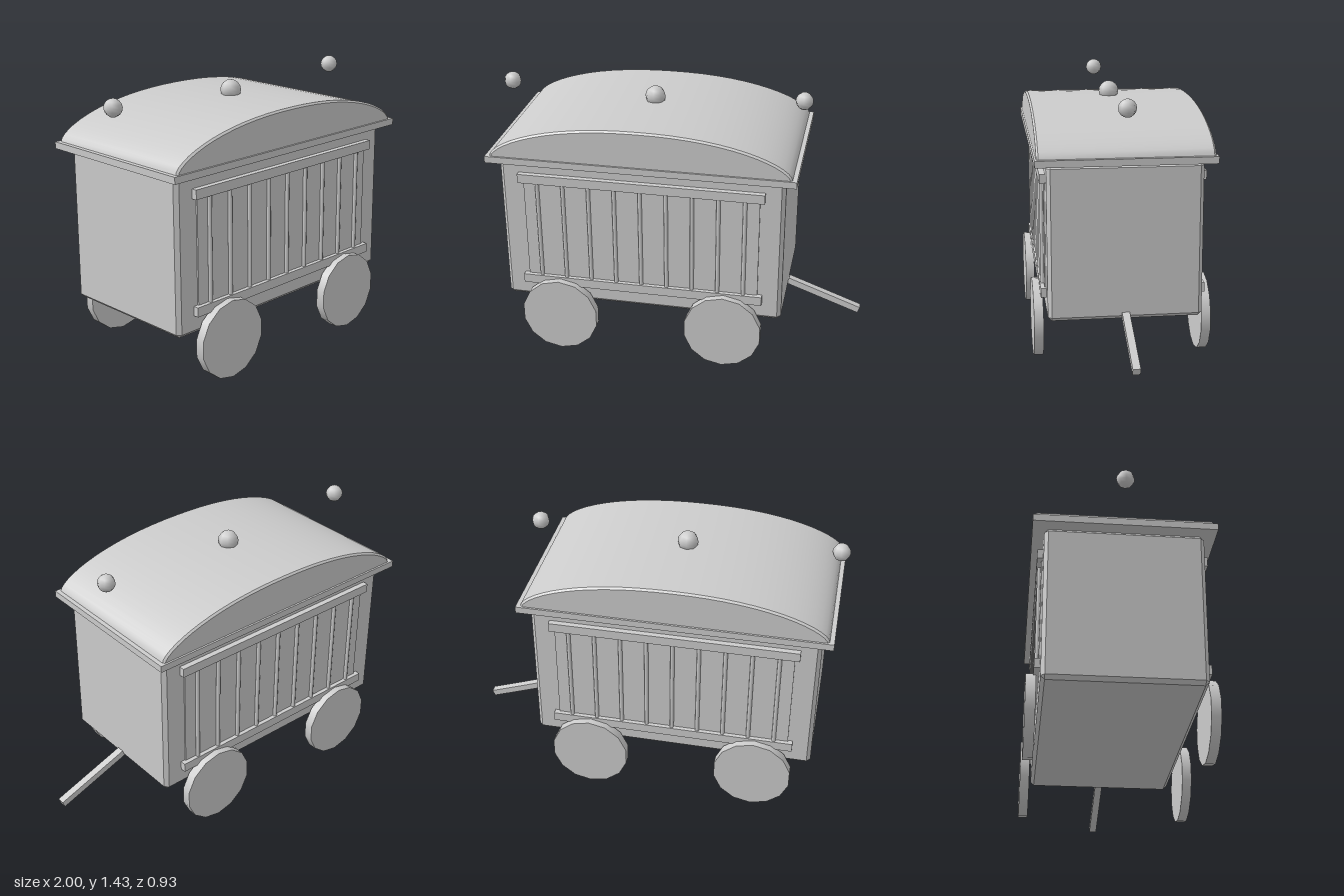
import * as THREE from 'three';
import { toCreasedNormals } from 'three/addons/utils/BufferGeometryUtils.js';
import { ConvexGeometry } from 'three/addons/geometries/ConvexGeometry.js';

const CX = -0.165; // middle of the wagon body along x

export function createModel() {
  const wagon = new THREE.Group();
  wagon.name = 'cageWagon';
  const grey = new THREE.MeshStandardMaterial({ color: 0xcccccc });
  grey.name = 'plain grey';

  const add = (name, geometry, x, y, z) => {
    const mesh = new THREE.Mesh(geometry, grey);
    mesh.name = name;
    mesh.position.set(x, y, z);
    wagon.add(mesh);
    return mesh;
  };
  const box = (name, w, h, d, x, y, z) => add(name, new THREE.BoxGeometry(w, h, d), x, y, z);

  // Body: box with every edge chamfered
  const hx = 0.755, hy = 0.41, hz = 0.4, c = 0.02;
  const corners = [];
  for (const sx of [-1, 1]) for (const sy of [-1, 1]) for (const sz of [-1, 1]) {
    corners.push(
      new THREE.Vector3(sx * hx, sy * (hy - c), sz * (hz - c)),
      new THREE.Vector3(sx * (hx - c), sy * hy, sz * (hz - c)),
      new THREE.Vector3(sx * (hx - c), sy * (hy - c), sz * hz));
  }
  add('body', new ConvexGeometry(corners), CX, 0.69, 0);

  // Eave slab under the roof
  box('eaves', 1.626, 0.036, 0.92, CX, 1.118, 0);

  // Arched roof with a fine bevel on both end edges
  const bevel = 0.01, half = 0.78, rise = 0.185;
  const arch = new THREE.Shape();
  arch.moveTo(-half, 0);
  const steps = 28;
  for (let i = 1; i < steps; i++) {
    const u = -Math.cos((Math.PI * i) / steps);
    arch.lineTo(u * half, rise * Math.pow(1 - Math.pow(Math.abs(u), 2.2), 0.65));
  }
  arch.lineTo(half, 0);
  const roof = new THREE.ExtrudeGeometry(arch, {
    depth: 0.88, bevelEnabled: true, bevelSize: bevel, bevelThickness: bevel, bevelSegments: 1,
  });
  roof.translate(0, 0, -0.44);
  add('roof', toCreasedNormals(roof, 0.5), CX, 1.136, 0);

  for (const side of [1, -1]) {
    // Barred panel on each long side
    box('cagePanel', 1.255, 0.6, 0.01, CX, 0.705, side * 0.403);
    box('upperRail', 1.306, 0.05, 0.03, CX, 1.008, side * 0.415);
    box('lowerRail', 1.306, 0.05, 0.03, CX, 0.404, side * 0.415);
    for (let i = -4; i <= 4; i++) {
      const bar = new THREE.CylinderGeometry(0.011, 0.011, 0.58, 8);
      add('cageBar', bar, CX + i * 0.138, 0.706, side * 0.414);
    }
    // Solid disc wheels
    for (const x of [-0.615, 0.285]) {
      const wheel = new THREE.CylinderGeometry(0.21, 0.21, 0.05, 14);
      wheel.rotateX(Math.PI / 2);
      add('wheel', wheel, x, 0.21, side * 0.442);
    }
  }

  // Drawbar sloping down from the front end
  const drawbar = box('drawbar', 0.43, 0.036, 0.04, 0.791, 0.229, 0);
  drawbar.rotation.z = -0.35;

  // Ball finials: one on the ridge, two above the roof ends
  const finial = (name, r, x, y) => add(name, new THREE.SphereGeometry(r, 8, 8), x, y, 0);
  finial('ridgeFinial', 0.055, CX, 1.354);
  finial('endFinial', 0.047, -0.957, 1.385);
  finial('endFinial', 0.047, 0.628, 1.385);

  return wagon;
}
